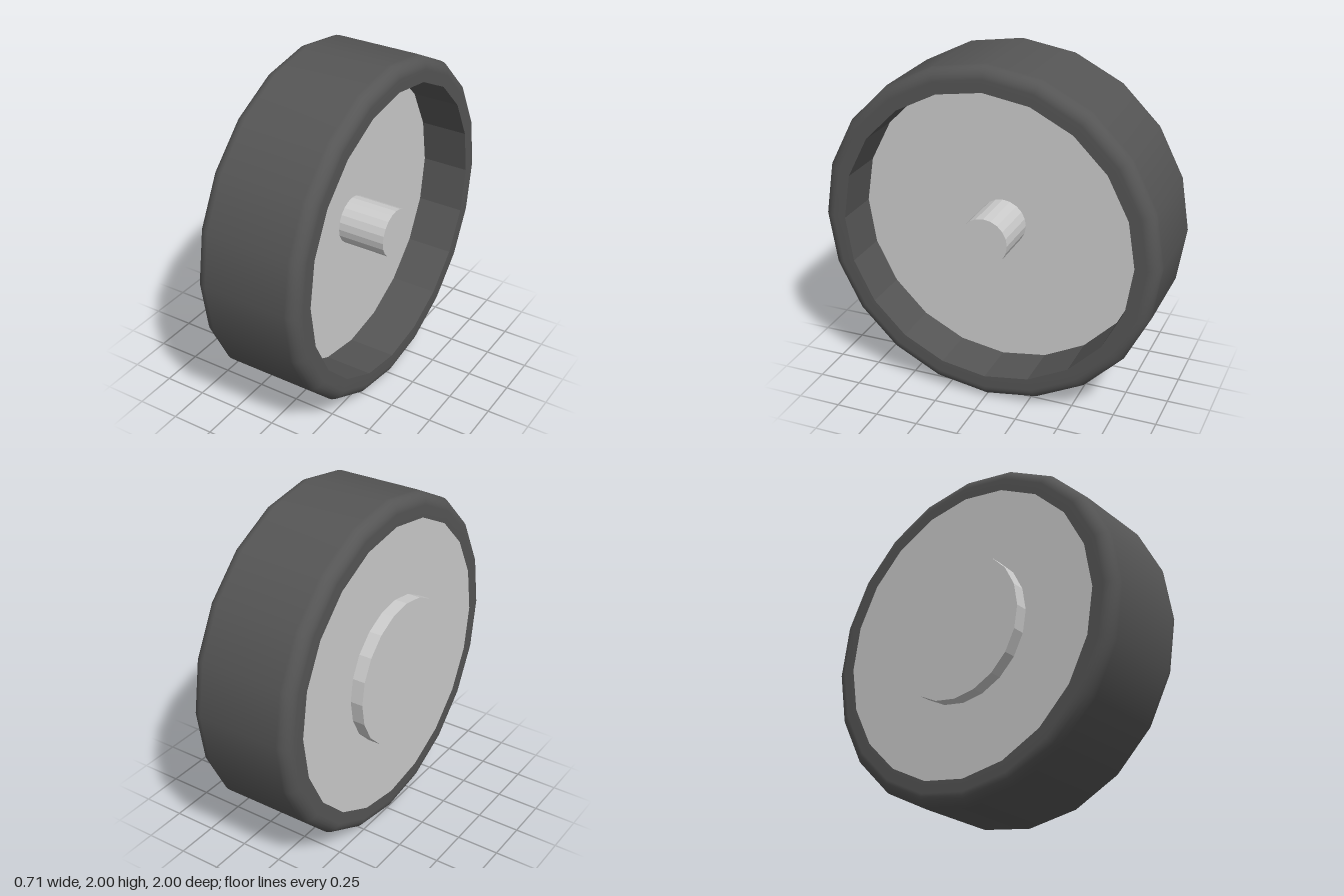
import * as THREE from 'three';

const SIDES = 20;
const BACK = -0.28, FRONT = 0.355; // tyre side faces along the axle
const RIM = 0.86, BEVEL = 0.07, WEB = 0.07; // rim radius, tyre edge rounding, web face

export function createModel() {
  const model = new THREE.Group();
  model.name = 'wheel';

  const grey = new THREE.MeshStandardMaterial({ color: 0xcccccc, flatShading: true });
  const rubber = new THREE.MeshStandardMaterial({ color: 0x555555 });
  const rubberFlat = new THREE.MeshStandardMaterial({ color: 0x555555, flatShading: true });

  // Everything is turned around y first, then laid on its side so the axle runs along x
  const wheel = new THREE.Group();
  wheel.name = 'wheelAssembly';
  wheel.rotation.z = -Math.PI / 2;
  wheel.position.y = 1;
  model.add(wheel);

  const add = (name, geometry, material) => {
    const mesh = new THREE.Mesh(geometry, material);
    mesh.name = name;
    wheel.add(mesh);
  };
  const disc = (name, radius, from, to) => {
    const geometry = new THREE.CylinderGeometry(radius, radius, to - from, SIDES);
    add(name, geometry.translate(0, (from + to) / 2, 0), grey);
  };

  // Tyre: smooth tread with rounded shoulders
  const profile = [new THREE.Vector2(RIM, BACK)];
  const shoulder = (y, start) => {
    for (let i = 0; i <= 6; i++) {
      const a = start + (i / 6) * (Math.PI / 2);
      profile.push(new THREE.Vector2(1 - BEVEL + BEVEL * Math.cos(a), y + BEVEL * Math.sin(a)));
    }
  };
  shoulder(BACK + BEVEL, -Math.PI / 2);
  shoulder(FRONT - BEVEL, 0);
  profile.push(new THREE.Vector2(RIM, FRONT));
  add('tyre', new THREE.LatheGeometry(profile, SIDES), rubber);

  // Inward-facing wall of the recess
  const wall = [new THREE.Vector2(RIM, FRONT), new THREE.Vector2(RIM, WEB)];
  add('tyreInnerWall', new THREE.LatheGeometry(wall, SIDES), rubberFlat);

  // Web disc, hub cap on the back and axle pin in the recess
  disc('webDisc', RIM, BACK, WEB);
  disc('hubCap', 0.43, -0.355, BACK);
  disc('axlePin', 0.14, WEB, FRONT);

  return model;
}
